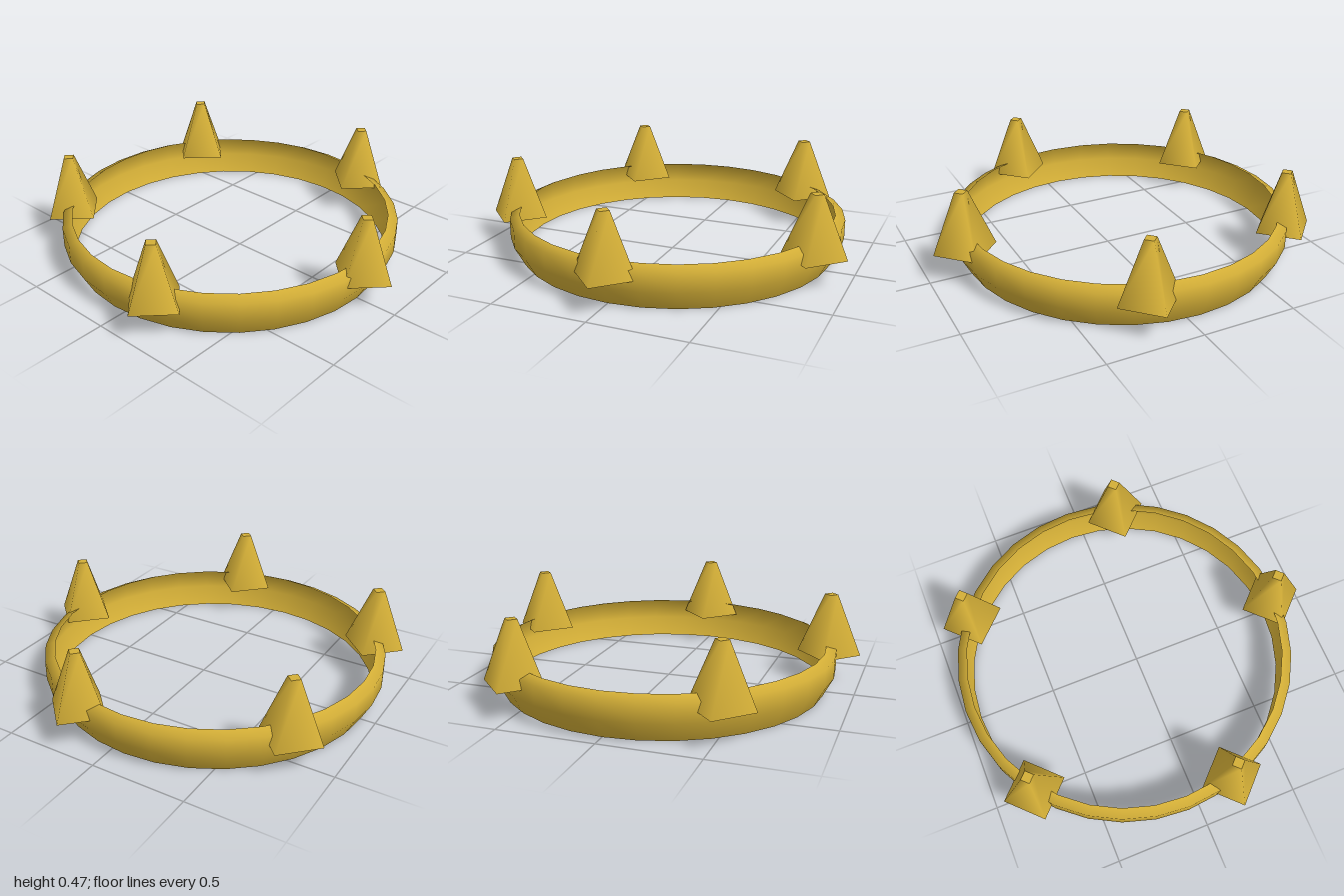
import * as THREE from 'three';

export function createModel() {
  const model = new THREE.Group();
  model.name = 'crown';

  const gold = new THREE.MeshStandardMaterial({ color: 0xd4af37, side: THREE.DoubleSide });
  gold.name = 'gold';

  const centreZ = -0.07;

  // Thin curved band, narrower at the bottom and at the rim
  const profile = [[0.85, 0], [0.903, 0.1], [0.903, 0.2], [0.85, 0.222]]
    .map(([r, y]) => new THREE.Vector2(r, y));
  const band = new THREE.Mesh(new THREE.LatheGeometry(profile, 32), gold);
  band.name = 'band';
  band.position.z = centreZ;
  model.add(band);

  // Five blunt four-sided spikes, all facing the same way
  const spikeGeometry = new THREE.CylinderGeometry(0.034, 0.166, 0.32, 4);
  for (let i = 0; i < 5; i++) {
    const a = (i / 5) * Math.PI * 2;
    const spike = new THREE.Mesh(spikeGeometry, gold);
    spike.name = 'spike' + (i + 1);
    spike.position.set(0.874 * Math.sin(a), 0.31, centreZ + 0.874 * Math.cos(a));
    model.add(spike);
  }

  return model;
}
